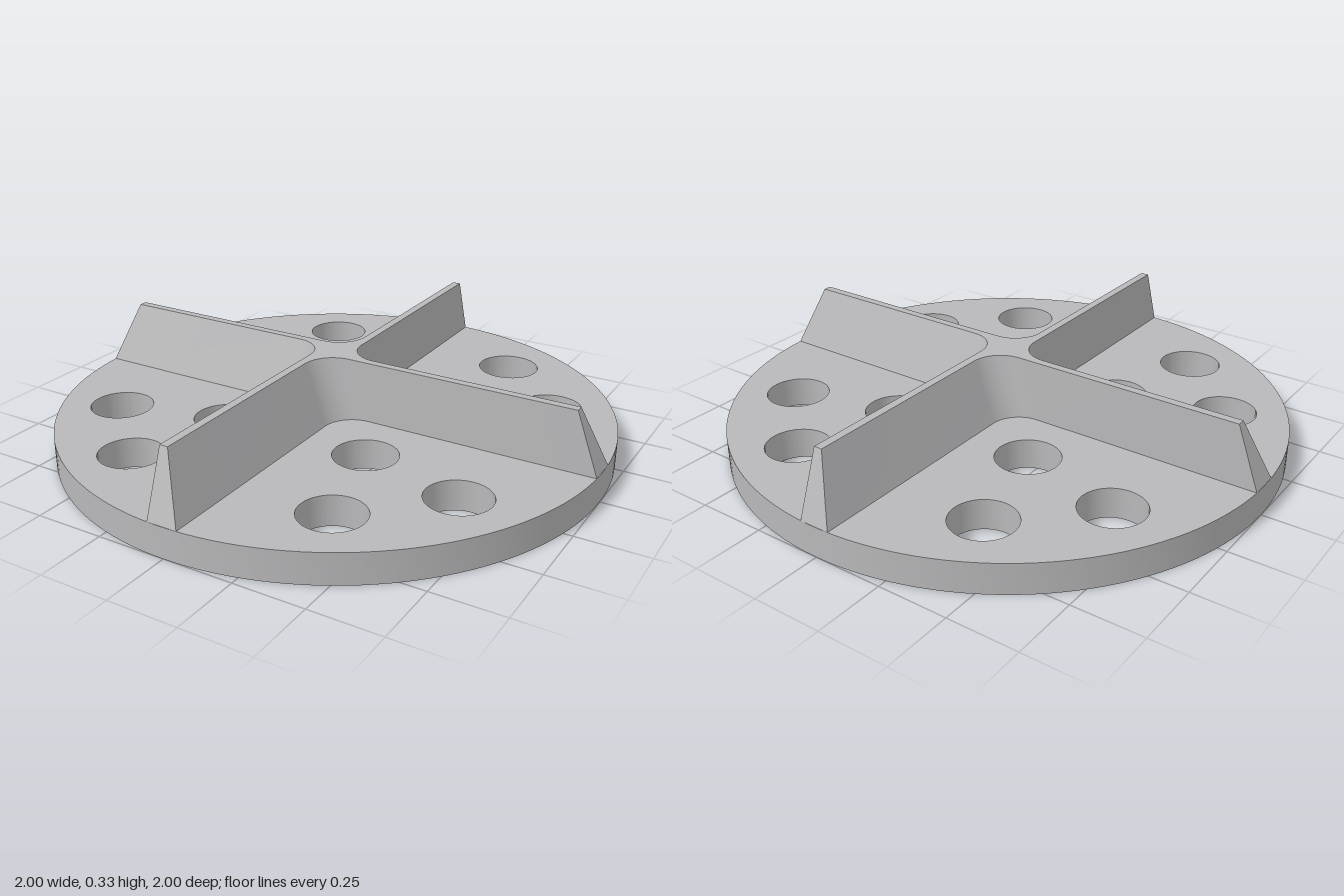
import * as THREE from 'three';
import { toCreasedNormals } from 'three/addons/utils/BufferGeometryUtils.js';

const DISC_H = 0.11, TOP = 0.33, HALF = 0.055, FILLET = 0.11, ARC = 14;

// Outline of the four-armed cross at one height, counter-clockwise from above (y = -z)
function crossOutline(slopeSide, end) {
  const points = [];
  for (let q = 0; q < 4; q++) {
    const quadrant = [[-HALF, end], [slopeSide, end]];
    for (let i = 0; i <= ARC; i++) {
      const a = (i / ARC) * Math.PI / 2;
      quadrant.push([
        slopeSide + FILLET * (1 - Math.cos(a)),
        HALF + FILLET * (1 - Math.sin(a)),
      ]);
    }
    for (const [x, z] of quadrant) {
      points.push(new THREE.Vector2(x, -z).rotateAround(new THREE.Vector2(), q * Math.PI / 2));
    }
  }
  return points;
}

// Round plate with three holes in each quarter
function plateGeometry() {
  const shape = new THREE.Shape().absarc(0, 0, 1, 0, Math.PI * 2);
  for (const [x, y] of [[0.39, 0.674], [0.674, 0.39], [0.285, 0.285]]) {
    for (const sx of [-1, 1]) for (const sy of [-1, 1]) {
      shape.holes.push(new THREE.Path().absarc(sx * x, sy * y, 0.113, 0, Math.PI * 2, true));
    }
  }
  const geo = new THREE.ExtrudeGeometry(shape, { depth: DISC_H, bevelEnabled: false, curveSegments: 72 });
  geo.rotateX(-Math.PI / 2);
  return toCreasedNormals(geo, 0.5);
}

// Blades: one upright side, one sloping side, tapered ends, filleted where they meet
function bladesGeometry() {
  const low = crossOutline(HALF, 0.9985), high = crossOutline(-0.025, 0.917);
  const n = low.length, pos = [];
  const put = (p, y) => pos.push(p.x, y, -p.y);
  for (let i = 0; i < n; i++) {
    const j = (i + 1) % n;
    put(low[i], DISC_H); put(low[j], DISC_H); put(high[j], TOP);
    put(low[i], DISC_H); put(high[j], TOP); put(high[i], TOP);
  }
  for (const face of THREE.ShapeUtils.triangulateShape(high, [])) {
    for (const k of face) put(high[k], TOP);
  }
  const geo = new THREE.BufferGeometry();
  geo.setAttribute('position', new THREE.Float32BufferAttribute(pos, 3));
  return toCreasedNormals(geo, 0.4);
}

export function createModel() {
  const grey = new THREE.MeshStandardMaterial({ color: 0xb8b8ba });
  grey.name = 'grey';
  const group = new THREE.Group();
  group.name = 'bladedDisc';
  const add = (name, geo) => {
    const mesh = new THREE.Mesh(geo, grey);
    mesh.name = name;
    group.add(mesh);
  };
  add('perforatedPlate', plateGeometry());
  add('crossBlades', bladesGeometry());
  return group;
}
